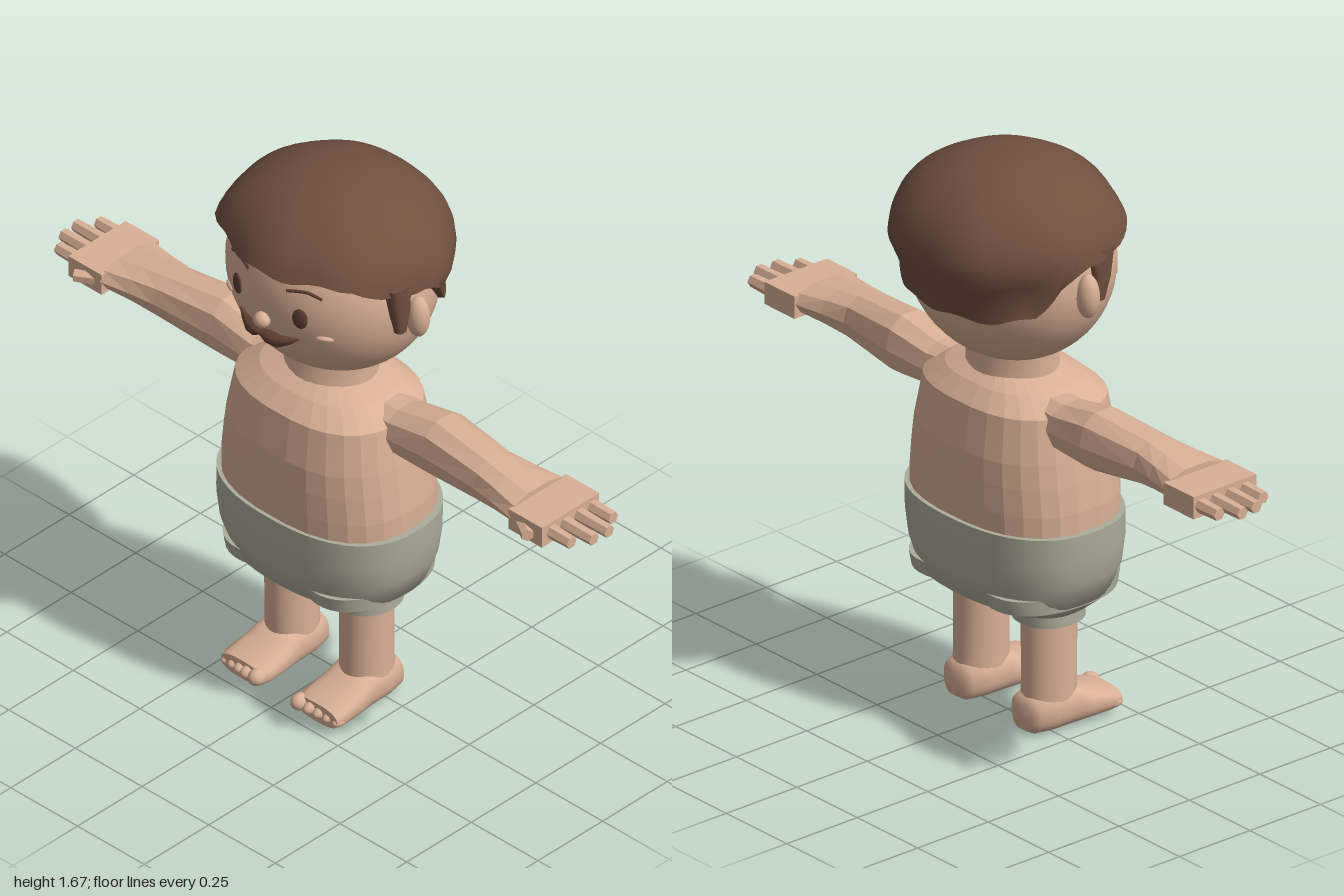
import * as THREE from 'three';
import { toCreasedNormals } from 'three/addons/utils/BufferGeometryUtils.js';

const paint = (name, color) => {
  const m = new THREE.MeshStandardMaterial({ color });
  m.name = name;
  return m;
};
const FLAT = 0.01;

function indexed(pos, idx) {
  const g = new THREE.BufferGeometry();
  g.setAttribute('position', new THREE.Float32BufferAttribute(pos, 3));
  g.setIndex(idx);
  g.computeVertexNormals();
  return g;
}

// Capped loft along an axis; each ring is [t, centreU, centreV, radiusU, radiusV].
function loft(axis, rings, { seg = 24, n = 2, crease = 0.7 } = {}) {
  const pos = [], idx = [];
  const put = (t, u, v) => pos.push(...(axis === 'y' ? [u, t, v] : axis === 'x' ? [t, u, v] : [u, v, t]));
  const tri = (a, b, c) => (axis === 'y' ? idx.push(a, c, b) : idx.push(a, b, c));
  const pw = (c) => Math.sign(c) * Math.abs(c) ** (2 / n);
  for (const [t, cu, cv, ru, rv] of rings)
    for (let i = 0; i < seg; i++) {
      const a = ((i + 0.5) / seg) * Math.PI * 2;
      put(t, cu + ru * pw(Math.cos(a)), cv + rv * pw(Math.sin(a)));
    }
  const last = rings.length - 1, c0 = rings.length * seg;
  put(...rings[0].slice(0, 3));
  put(...rings[last].slice(0, 3));
  for (let i = 0; i < seg; i++) {
    const k = (i + 1) % seg;
    for (let j = 0; j < last; j++) {
      const a = j * seg + i, c = j * seg + k;
      tri(a, c, a + seg);
      tri(c, c + seg, a + seg);
    }
    tri(c0, k, i);
    tri(c0 + 1, last * seg + i, last * seg + k);
  }
  return toCreasedNormals(indexed(pos, idx), crease);
}

// Mirror across x, keeping faces outward.
function mirrored(geo) {
  const g = geo.index ? geo.toNonIndexed() : geo.clone();
  g.scale(-1, 1, 1);
  for (const key of ['position', 'normal']) {
    const at = g.attributes[key];
    for (let i = 0; i < at.count; i += 3) {
      const b = [at.getX(i + 1), at.getY(i + 1), at.getZ(i + 1)];
      at.setXYZ(i + 1, at.getX(i + 2), at.getY(i + 2), at.getZ(i + 2));
      at.setXYZ(i + 2, ...b);
    }
  }
  return g;
}

const ball = (x, y, z, rx, ry = rx, rz = rx) =>
  new THREE.SphereGeometry(1, 24, 16).scale(rx, ry, rz).translate(x, y, z);

// Head ellipsoid and points on it.
const HEAD = { y: 1.36, z: 0.01, rx: 0.31, ry: 0.29, rz: 0.27 };
const headScale = (y) => Math.sqrt(Math.max(0, 1 - ((y - HEAD.y) / HEAD.ry) ** 2));
const headZ = (x, y) => HEAD.z + HEAD.rz * Math.sqrt(Math.max(0, headScale(y) ** 2 - (x / HEAD.rx) ** 2));

// Thin oval lying on the face.
function faceOval(x, y, rx, ry) {
  const z = headZ(x, y);
  const turn = Math.atan2(x / HEAD.rx ** 2, (z - HEAD.z) / HEAD.rz ** 2);
  return new THREE.SphereGeometry(1, 20, 12).scale(rx, ry, 0.008).rotateY(turn).translate(x, y, z);
}

// Hexagonal finger between two points.
function finger(from, to, r) {
  const a = new THREE.Vector3(...from), b = new THREE.Vector3(...to), d = b.clone().sub(a);
  const g = new THREE.CylinderGeometry(r * 0.85, r, d.length(), 6);
  g.applyQuaternion(new THREE.Quaternion().setFromUnitVectors(new THREE.Vector3(0, 1, 0), d.normalize()));
  g.translate(...a.add(b).multiplyScalar(0.5).toArray());
  return toCreasedNormals(g, FLAT);
}

// Hair cap: dome swept down to a hairline that depends on the angle from the front.
function hairCap() {
  const line = [[0, 1.495], [50, 1.495], [64, 1.45], [92, 1.44], [104, 1.39], [120, 1.31], [140, 1.285], [180, 1.285]];
  const hairline = (deg) => {
    const k = Math.max(1, line.findIndex((p) => p[0] >= deg));
    const [[a, ya], [b, yb]] = [line[k - 1], line[k]];
    return ya + ((yb - ya) * (deg - a)) / (b - a);
  };
  const top = 1.667, mid = 1.43, seg = 72, rows = 14, pos = [], idx = [];
  for (let j = 0; j <= rows + 1; j++)
    for (let i = 0; i < seg; i++) {
      const a = (i / seg) * Math.PI * 2, s = Math.sin(a), c = Math.cos(a);
      const t = Math.min(1, j / rows);
      const edge = hairline((Math.acos(c) * 180) / Math.PI) + 0.006 * Math.cos(11 * a);
      const y = top - (top - edge) * t * t, k = headScale(y);
      const f = y > mid ? Math.sqrt(Math.max(0, 1 - ((y - mid) / (top - mid)) ** 2)) : 1 - 1.3 * (mid - y);
      const lump = 1 + t * (0.018 * Math.cos(7 * a) + 0.008 * Math.sin(4 * a));
      if (j > rows) pos.push(0.97 * HEAD.rx * k * s, y, HEAD.z + 0.97 * HEAD.rz * k * c);
      else pos.push(
        Math.max(0.338 * f * lump, HEAD.rx * k * 1.04 * t) * s, y,
        Math.max(0.318 * f * lump, HEAD.rz * k * 1.04 * t) * c);
    }
  for (let j = 0; j <= rows; j++)
    for (let i = 0; i < seg; i++) {
      const a = j * seg + i, b = j * seg + ((i + 1) % seg);
      if (j > 0) idx.push(a, a + seg, b);
      idx.push(b, a + seg, b + seg);
    }
  return toCreasedNormals(indexed(pos, idx), 0.9);
}

export function createModel() {
  const model = new THREE.Group();
  model.name = 'figure';
  const skin = paint('skin', 0xd9b096);
  const brown = paint('hairBrown', 0x70503f);
  const dark = paint('darkBrown', 0x5e3f33);
  const cloth = paint('shortsGrey', 0xadad9c);
  const blush = paint('cheek', 0xe0b49c);

  const add = (name, geo, mat) => {
    const m = new THREE.Mesh(geo, mat);
    m.name = name;
    model.add(m);
  };
  const pair = (name, geo, mat) => {
    add(name + 'Left', geo, mat);
    add(name + 'Right', mirrored(geo), mat);
  };

  // Head and face
  add('head', new THREE.SphereGeometry(1, 48, 32).scale(HEAD.rx, HEAD.ry, HEAD.rz).translate(0, HEAD.y, HEAD.z), skin);
  add('hair', hairCap(), brown);
  add('nose', ball(0, 1.317, 0.286, 0.025, 0.023, 0.023), skin);
  pair('ear', ball(0.318, 1.345, 0.01, 0.034, 0.064, 0.032), skin);
  pair('sideburn', loft('y', [[1.315, 0.298, 0.062, 0.018, 0.018], [1.38, 0.302, 0.066, 0.022, 0.03], [1.47, 0.3, 0.07, 0.025, 0.04]], { n: 3, seg: 16 }), brown);
  pair('eye', faceOval(0.117, 1.365, 0.023, 0.032), dark);
  pair('cheek', faceOval(0.178, 1.31, 0.025, 0.009), blush);
  const brow = [[0.07, 1.438], [0.1, 1.445], [0.13, 1.448], [0.168, 1.436]].map(([x, y]) => new THREE.Vector3(x, y, headZ(x, y)));
  pair('eyebrow', new THREE.TubeGeometry(new THREE.CatmullRomCurve3(brow), 12, 0.005, 6), dark);
  pair('moustache', loft('x', [
    [0, 1.277, 0.285, 0.008, 0.014], [0.025, 1.273, 0.286, 0.019, 0.018], [0.055, 1.268, 0.278, 0.019, 0.016],
    [0.085, 1.277, 0.265, 0.011, 0.012], [0.108, 1.288, 0.255, 0.003, 0.004]], { seg: 14, crease: 1 }), dark);

  // Neck and torso
  add('neck', loft('y', [[1.0, 0, 0.02, 0.145, 0.13], [1.04, 0, 0.017, 0.14, 0.12], [1.12, 0, 0.012, 0.14, 0.105]]), skin);
  add('torso', loft('y', [
    [0.6, 0, 0.025, 0.312, 0.226], [0.7, 0, 0.025, 0.31, 0.228], [0.78, 0, 0.025, 0.3, 0.228], [0.85, 0, 0.025, 0.29, 0.225],
    [0.975, 0, 0.025, 0.268, 0.203], [1.02, 0, 0.022, 0.2, 0.155], [1.045, 0, 0.018, 0.13, 0.11]],
  { n: 2.5, seg: 28, crease: FLAT }), skin);

  // Shorts
  add('shorts', loft('y', [
    [0.4, 0, 0.023, 0.27, 0.2], [0.41, 0, 0.023, 0.288, 0.212], [0.49, 0, 0.025, 0.32, 0.232],
    [0.56, 0, 0.025, 0.33, 0.238], [0.642, 0, 0.024, 0.331, 0.238]], { n: 2.4, seg: 48 }), cloth);
  pair('shortsLeg', loft('y', [
    [0.33, 0.14, 0.023, 0.096, 0.098], [0.362, 0.14, 0.023, 0.096, 0.1], [0.37, 0.142, 0.023, 0.105, 0.12],
    [0.405, 0.15, 0.023, 0.136, 0.2], [0.45, 0.15, 0.023, 0.138, 0.21]], { n: 2.2, seg: 36 }), cloth);

  // Legs and feet
  pair('leg', loft('y', [[0.05, 0.14, 0.022, 0.072, 0.082], [0.14, 0.14, 0.025, 0.069, 0.08], [0.4, 0.14, 0.025, 0.071, 0.081]]), skin);
  pair('foot', loft('z', [
    [-0.07, 0.14, 0.048, 0.04, 0.036], [-0.055, 0.14, 0.055, 0.062, 0.052], [0, 0.14, 0.062, 0.075, 0.062],
    [0.07, 0.14, 0.062, 0.077, 0.062], [0.12, 0.14, 0.05, 0.081, 0.048], [0.19, 0.14, 0.043, 0.084, 0.037],
    [0.22, 0.14, 0.04, 0.078, 0.03]], { n: 2.6, crease: 1 }), skin);
  for (let i = 0; i < 5; i++) {
    const r = i ? 0.019 - i * 0.001 : 0.024;
    pair('toe' + (i + 1), ball(i ? 0.088 + i * 0.03 : 0.08, 0.047 - i * 0.003, 0.222 - i * 0.006, r, r, 0.028), skin);
  }

  // Arms and hands
  pair('arm', loft('x', [
    [0.13, 0.965, 0, 0.05, 0.07], [0.26, 0.945, 0, 0.07, 0.082], [0.4, 0.955, -0.005, 0.09, 0.086],
    [0.6, 0.957, 0.01, 0.068, 0.08], [0.68, 0.96, 0.01, 0.055, 0.093], [0.768, 0.962, 0.01, 0.043, 0.112]],
  { seg: 10, n: 2.3, crease: FLAT }), skin);
  pair('palm', new THREE.BoxGeometry(0.125, 0.066, 0.222).translate(0.825, 0.953, 0.008), skin);
  [[0.08, 0.962], [0.028, 0.995], [-0.026, 1.0], [-0.078, 0.965]].forEach(([z, tip], i) =>
    pair('finger' + (i + 1), finger([0.87, 0.955, z], [tip, 0.955, z], 0.022), skin));
  pair('thumb', finger([0.77, 0.95, 0.085], [0.85, 0.95, 0.135], 0.022), skin);

  return model;
}
